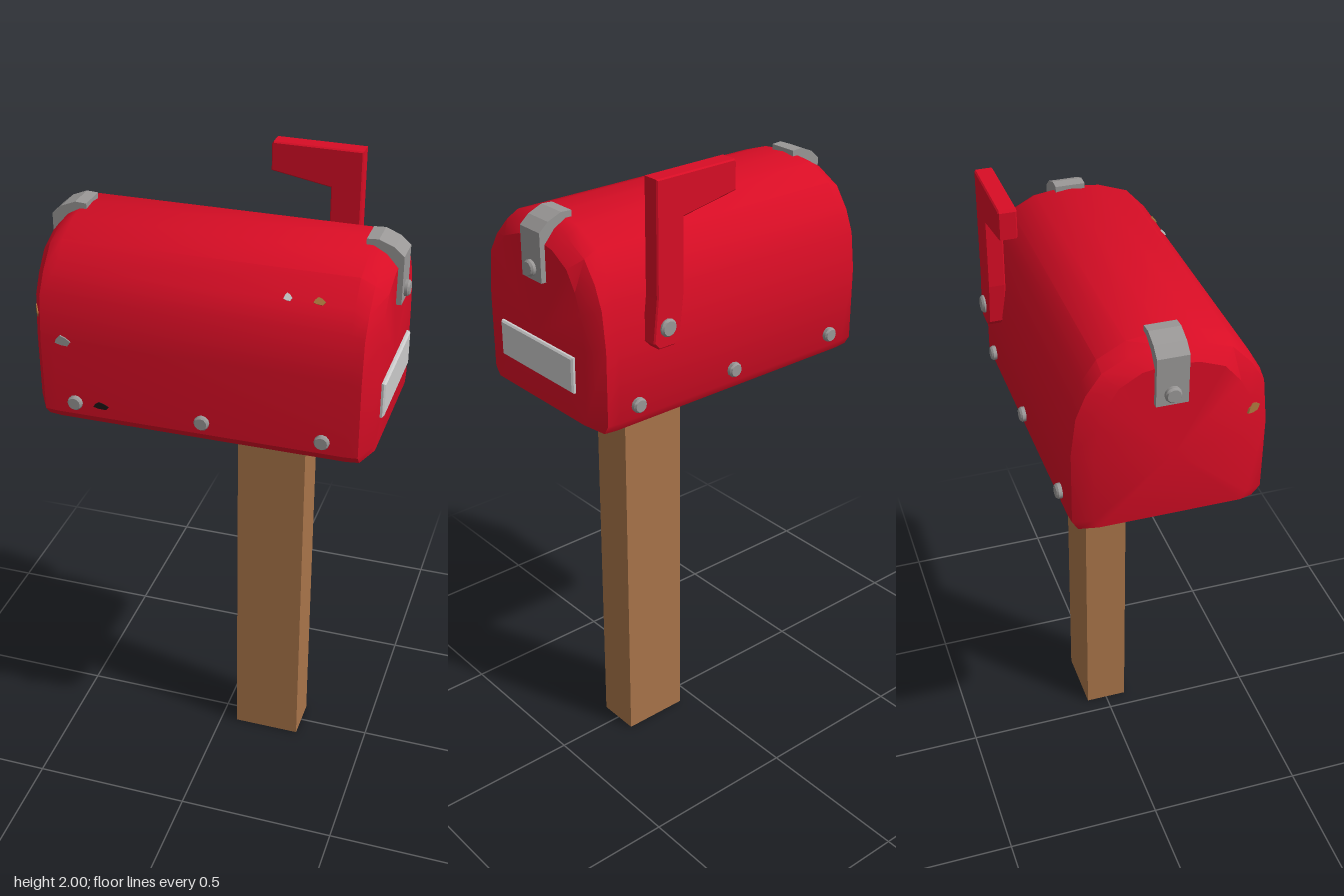
import * as THREE from 'three';
import { toCreasedNormals } from 'three/addons/utils/BufferGeometryUtils.js';

const material = (name, color) => {
  const m = new THREE.MeshStandardMaterial({ color });
  m.name = name;
  return m;
};

function add(parent, name, geometry, mat, x = 0, y = 0, z = 0) {
  const mesh = new THREE.Mesh(geometry, mat);
  mesh.name = name;
  mesh.position.set(x, y, z);
  parent.add(mesh);
  return mesh;
}

// Extrudes an outline in the xy plane, centred in depth
function slab(points, depth, bevel = 0) {
  const shape = new THREE.Shape(points.map(([x, y]) => new THREE.Vector2(x, y)));
  const g = new THREE.ExtrudeGeometry(shape, {
    depth: depth - 2 * bevel, bevelEnabled: bevel > 0, bevelThickness: bevel,
    bevelSize: bevel, bevelOffset: -bevel, bevelSegments: 1,
  });
  return g.translate(0, 0, bevel - depth / 2);
}

// Domed box: one arched section lofted along x, drawn in at both ends
function bodyGeometry() {
  const section = [ // [z, y]
    [0.275, 1.27], [0.3, 1.3], [0.302, 1.54], [0.288, 1.68], [0.25, 1.745], [0.19, 1.81],
    [0.1, 1.842], [0, 1.852], [-0.1, 1.838], [-0.18, 1.795], [-0.225, 1.73], [-0.253, 1.66],
    [-0.268, 1.54], [-0.268, 1.3], [-0.25, 1.27],
  ];
  const stations = [ // [x, width scale, top inset, bottom inset]
    [-0.514, 0.8, 0.06, 0.022], [-0.48, 0.99, 0.022, 0.002], [-0.44, 1, 0, 0],
    [0.44, 1, 0, 0], [0.48, 0.99, 0.022, 0.002], [0.514, 0.8, 0.06, 0.022],
  ];
  const n = section.length, midZ = 0.017, low = 1.27, height = 0.582;
  const position = [], index = [];
  for (const [x, scale, top, bottom] of stations) {
    for (const [z, y] of section) {
      const t = (y - low) / height;
      position.push(x, low + bottom + t * (height - top - bottom), midZ + (z - midZ) * scale);
    }
  }
  for (let i = 0; i < stations.length - 1; i++) {
    for (let j = 0; j < n; j++) {
      const k = (j + 1) % n, a = i * n, b = a + n;
      index.push(a + j, b + j, b + k, a + j, b + k, a + k);
    }
  }
  // end caps
  const last = (stations.length - 1) * n, c = stations.length * n;
  position.push(-0.514, 1.5, midZ, 0.514, 1.5, midZ);
  for (let j = 0; j < n; j++) {
    const k = (j + 1) % n;
    index.push(c, j, k, c + 1, last + k, last + j);
  }
  const g = new THREE.BufferGeometry();
  g.setAttribute('position', new THREE.Float32BufferAttribute(position, 3));
  g.setIndex(index);
  return toCreasedNormals(g, 0.6);
}

// Short bolt head with a small chamfer, axis along z
function boltGeometry(radius, depth) {
  const profile = [[0, -depth / 2], [radius, -depth / 2], [radius, depth * 0.3],
    [radius * 0.8, depth / 2], [0, depth / 2]].map(([r, y]) => new THREE.Vector2(r, y));
  return toCreasedNormals(new THREE.LatheGeometry(profile, 12).rotateX(Math.PI / 2), 0.6);
}

export function createModel() {
  const red = material('red paint', 0xd80d25);
  const wood = material('wood', 0xa87449);
  const metal = material('grey metal', 0x999796);
  const pale = material('pale plate', 0xcacaca);
  const tan = material('tan primer', 0xa8743c);
  const black = material('black dent', 0x1c1414);

  const model = new THREE.Group();
  model.name = 'mailbox';

  add(model, 'post', new THREE.BoxGeometry(0.216, 1.29, 0.138), wood, 0.162, 0.645, 0);
  add(model, 'body', bodyGeometry(), red);

  // Bent straps with a bolt over both ends
  const strapShape = [[0.42, 1.84], [0.45, 1.836], [0.506, 1.79], [0.508, 1.675], [0.53, 1.675],
    [0.53, 1.822], [0.5, 1.848], [0.455, 1.866], [0.42, 1.864]];
  for (const side of [1, -1]) {
    const strap = new THREE.Group();
    strap.name = side > 0 ? 'leftStrap' : 'rightStrap';
    add(strap, 'strapBand', slab(strapShape, 0.092), metal);
    add(strap, 'strapBolt', boltGeometry(0.024, 0.03), metal, 0.53, 1.71, 0).rotation.y = Math.PI / 2;
    strap.rotation.y = side > 0 ? 0 : Math.PI;
    strap.position.z = 0.003;
    model.add(strap);
  }

  // Blank address plate on the door end
  const plate = slab([[-0.175, -0.055], [0.175, -0.055], [0.175, 0.055], [-0.175, 0.055]], 0.02, 0.005);
  add(model, 'addressPlate', plate, pale, 0.516, 1.435, 0.01).rotation.y = Math.PI / 2;

  // Rivets along both long sides
  for (const x of [-0.38, 0.015, 0.375]) {
    add(model, 'frontRivet', boltGeometry(0.023, 0.03), metal, x, 1.34, 0.3);
    add(model, 'backRivet', boltGeometry(0.023, 0.03), metal, x, 1.34, -0.27).rotation.y = Math.PI;
  }

  // Raised signal flag on the back
  const flag = new THREE.Group();
  flag.name = 'flag';
  add(flag, 'flagArm', slab([[0.255, 1.53], [0.275, 1.51], [0.33, 1.51], [0.348, 1.53],
    [0.335, 1.66], [0.335, 1.998], [0.06, 2], [0.055, 1.992], [0.055, 1.91], [0.24, 1.877],
    [0.24, 1.66]], 0.055, 0.004), red, 0, 0, -0.283);
  add(flag, 'flagBolt', boltGeometry(0.027, 0.03), metal, 0.3, 1.57, -0.307).rotation.y = Math.PI;
  model.add(flag);

  // Chipped paint: thin irregular flakes lying on the shell
  const chip = (name, mat, size, [x, y, z], normal, squash = 0.7) => {
    const outline = Array.from({ length: 7 }, (_, i) => {
      const a = i / 7 * Math.PI * 2, r = size * (i % 2 ? 0.75 : 1);
      return [Math.cos(a) * r, Math.sin(a) * r * squash];
    });
    const mesh = add(model, name, slab(outline, 0.006), mat, x, y, z);
    mesh.quaternion.setFromUnitVectors(new THREE.Vector3(0, 0, 1), new THREE.Vector3(...normal).normalize());
  };
  chip('paleChip', pale, 0.013, [0.25, 1.75, 0.246], [0, 0.65, 0.75], 1);
  chip('tanChip', tan, 0.018, [0.34, 1.75, 0.246], [0, 0.65, 0.75]);
  chip('greyChip', metal, 0.026, [-0.41, 1.54, 0.302], [0, 0, 1]);
  chip('blackDent', black, 0.026, [-0.3, 1.34, 0.3], [0, 0, 1], 0.5);
  chip('endChip', tan, 0.026, [-0.507, 1.6, 0.247], [-0.87, 0, 0.5]);
  chip('undersideChip', metal, 0.032, [-0.25, 1.27, 0.05], [0, -1, 0]);
  chip('undersideDent', black, 0.014, [0.08, 1.27, -0.135], [0, -1, 0]);

  return model;
}
